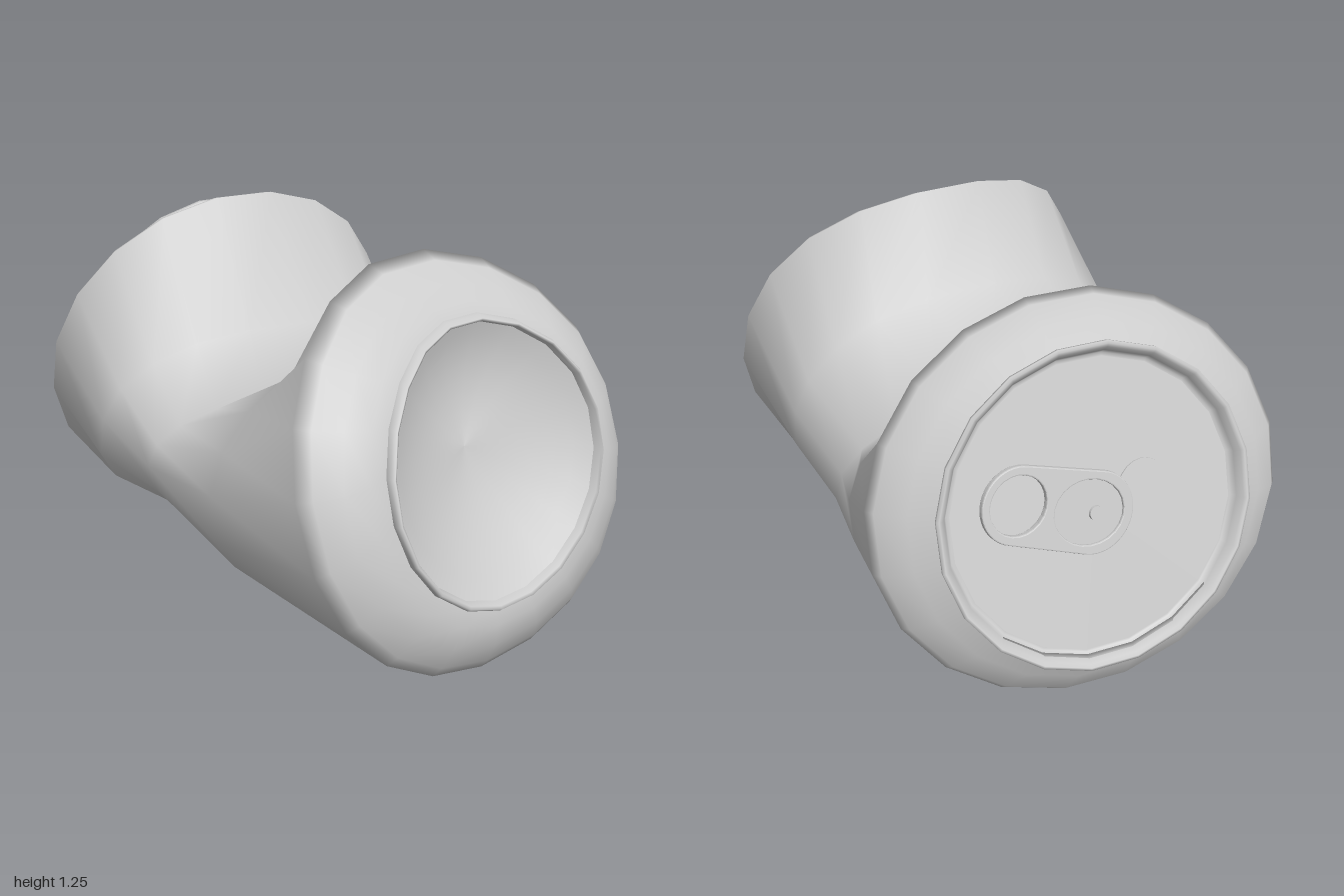
import * as THREE from 'three';

const SIDES = 20;
const material = new THREE.MeshStandardMaterial({ color: 0xcccccc, side: THREE.DoubleSide });
const V = (a) => new THREE.Vector3(...a);

// Closed ring through its right, top, left and bottom points.
// power < 1 squares it off; sag and fold move the middle of its top down and back.
function ring(r, t, l, b, { power = 1, sag = 0, fold = 0 } = {}) {
  [r, t, l, b] = [r, t, l, b].map(V);
  const round = (v) => Math.sign(v) * Math.abs(v) ** power;
  const out = [];
  for (let i = 0; i < SIDES; i++) {
    const a = ((i + 0.5) / SIDES) * Math.PI * 2, c = Math.cos(a), s = Math.sin(a);
    const p = new THREE.Vector3().add(r).add(t).add(l).add(b).multiplyScalar(0.25);
    p.addScaledVector(r.clone().sub(l), round(c) / 2);
    p.addScaledVector(t.clone().sub(b), round(s) / 2);
    p.addScaledVector(r.clone().add(l).sub(t).sub(b), Math.cos(2 * a) / 4);
    p.y -= sag * Math.max(0, s) ** 4;
    p.z -= fold * Math.max(0, s) ** 4;
    out.push(p);
  }
  return out;
}

// Ring scaled about its centre and shifted along z
function resize(points, scale, dz = 0) {
  const c = new THREE.Vector3();
  points.forEach((p) => c.addScaledVector(p, 1 / points.length));
  return points.map((p) => {
    const q = c.clone().lerp(p, scale);
    q.z += dz;
    return q;
  });
}

const blend = (a, b, t, dz = 0) => a.map((p, i) => {
  const q = p.clone().lerp(b[i], t);
  q.z += dz;
  return q;
});

// Smooth skin over rings ordered from front to back
function loft(name, rows) {
  const index = [];
  for (let i = 0; i < rows.length - 1; i++) {
    for (let j = 0; j < SIDES; j++) {
      const k = (j + 1) % SIDES;
      const a = i * SIDES + j, b = i * SIDES + k, c = a + SIDES, d = b + SIDES;
      index.push(a, c, b, b, c, d);
    }
  }
  const geometry = new THREE.BufferGeometry().setFromPoints(rows.flat());
  geometry.setIndex(index);
  geometry.computeVertexNormals();
  return part(name, geometry);
}

function part(name, geometry) {
  const mesh = new THREE.Mesh(geometry, material);
  mesh.name = name;
  return mesh;
}

function makeBody() {
  const body = new THREE.Group();
  body.name = 'crushedBody';
  const rim = ring([0.5, 0.66, 0.835], [0.06, 1.05, 0.725], [-0.385, 0.66, 0.95], [0.06, 0.23, 0.97], { fold: 0.05 });
  const frontEdge = ring([0.7, 0.63, 0.68], [-0.03, 1.215, 0.53], [-0.64, 0.58, 0.87], [0.11, -0.005, 0.88], { power: 0.95, fold: 0.09 });
  const backEdge = ring([0.65, 0.65, -0.66], [-0.04, 1.25, -0.445], [-0.7, 0.66, -0.7], [-0.02, 0.03, -0.85]);
  const lidEdge = ring([0.485, 0.71, -0.83], [-0.02, 1.185, -0.67], [-0.525, 0.71, -0.83], [-0.02, 0.235, -0.985]);

  // Folded wall: the dent slopes down towards the right side
  body.add(loft('wall', [
    resize(rim, 1.02, -0.025),
    blend(frontEdge, rim, 0.75, 0.01),
    blend(frontEdge, rim, 0.45, 0.025),
    blend(frontEdge, rim, 0.15, 0.015),
    frontEdge,
    ring([0.615, 0.41, 0.35], [-0.02, 0.9, 0.31], [-0.68, 0.48, 0.42], [0, 0.17, 0.39], { power: 0.87, sag: 0.03 }),
    ring([0.56, 0.38, 0], [-0.15, 0.67, 0.04], [-0.685, 0.48, 0.03], [0, 0.195, 0], { power: 0.9 }),
    ring([0.6, 0.46, -0.3], [-0.03, 0.86, -0.22], [-0.695, 0.5, -0.33], [-0.02, 0.165, -0.4], { power: 0.87, sag: 0.04 }),
    backEdge,
    blend(backEdge, lidEdge, 0.12, -0.01),
    blend(backEdge, lidEdge, 0.6),
    resize(lidEdge, 0.95, 0.025),
    resize(lidEdge, 0.97, 0.01),
  ]));

  // Standing bead and hollow dome of the base
  body.add(loft('baseBead', [resize(rim, 0.96, -0.025), resize(rim, 0.975, 0), resize(rim, 0.995, 0.005), resize(rim, 1.015, -0.008), resize(rim, 1.02, -0.025)]));
  const dome = [];
  for (let i = 0; i <= 8; i++) {
    const s = i / 8;
    dome.push(resize(rim, 0.96 * s, -0.025 - 0.14 * (1 - s * s)));
  }
  body.add(loft('baseDome', dome));
  return body;
}

function makeTab() {
  const tab = new THREE.Group();
  tab.name = 'pullTab';
  // Tapered ring with a finger hole and a hole round the rivet plate
  const outline = new THREE.Shape();
  outline.absarc(0, 0, 0.125, Math.PI / 2, Math.PI * 1.5, false);
  outline.absarc(0.27, 0, 0.115, -Math.PI / 2, Math.PI / 2, false);
  outline.closePath();
  const finger = new THREE.Path().absellipse(0.27, 0, 0.097, 0.095, 0, Math.PI * 2, true);
  const plateHole = new THREE.Path().absellipse(0.025, 0, 0.125, 0.105, 0, Math.PI * 2, true);
  outline.holes.push(finger, plateHole);
  tab.add(part('tabFrame', new THREE.ExtrudeGeometry(outline, {
    depth: 0.012, curveSegments: 12, bevelThickness: 0.004, bevelSize: 0.004, bevelSegments: 2,
  })));

  const plate = part('rivetPlate', new THREE.CylinderGeometry(1, 1, 0.008, 24).rotateX(Math.PI / 2));
  plate.scale.set(0.126, 0.106, 1);
  plate.position.set(0.025, 0, 0.003);
  const rivet = part('rivet', new THREE.CylinderGeometry(0.022, 0.028, 0.06, 14).rotateX(Math.PI / 2));
  rivet.position.z = -0.015;
  tab.add(plate, rivet);

  tab.position.set(-0.02, 0, 0.008);
  tab.rotation.set(0, -0.14, Math.atan2(0.1, -0.27), 'ZYX');
  return tab;
}

function makeLid() {
  const lid = new THREE.Group();
  lid.name = 'lid';
  // Rolled rim, its corners lined up with those of the body
  const profile = [[0.47, -0.035], [0.495, -0.02], [0.508, -0.005], [0.508, 0.006], [0.499, 0.008], [0.488, 0.002], [0.475, -0.02], [0.465, -0.04], [0.45, -0.036]];
  const rim = new THREE.LatheGeometry(profile.map((p) => new THREE.Vector2(...p)), SIDES);
  lid.add(part('lidRim', rim.rotateX(Math.PI / 2).rotateZ(Math.PI / SIDES)));

  const panel = part('lidPanel', new THREE.CircleGeometry(0.455, SIDES).rotateZ(Math.PI / SIDES));
  panel.position.z = -0.035;
  const mouth = part('mouthPanel', new THREE.CylinderGeometry(1, 1, 0.006, 24).rotateX(Math.PI / 2));
  mouth.scale.set(0.095, 0.125, 1);
  mouth.position.set(0.165, -0.01, -0.034);
  lid.add(panel, mouth, makeTab());

  lid.position.set(-0.02, 0.71, -0.83);
  lid.lookAt(-0.02, 0.71 + 0.316, -0.83 - 0.949);
  return lid;
}

export function createModel() {
  const model = new THREE.Group();
  model.name = 'crushedCan';
  model.add(makeBody(), makeLid());
  return model;
}
